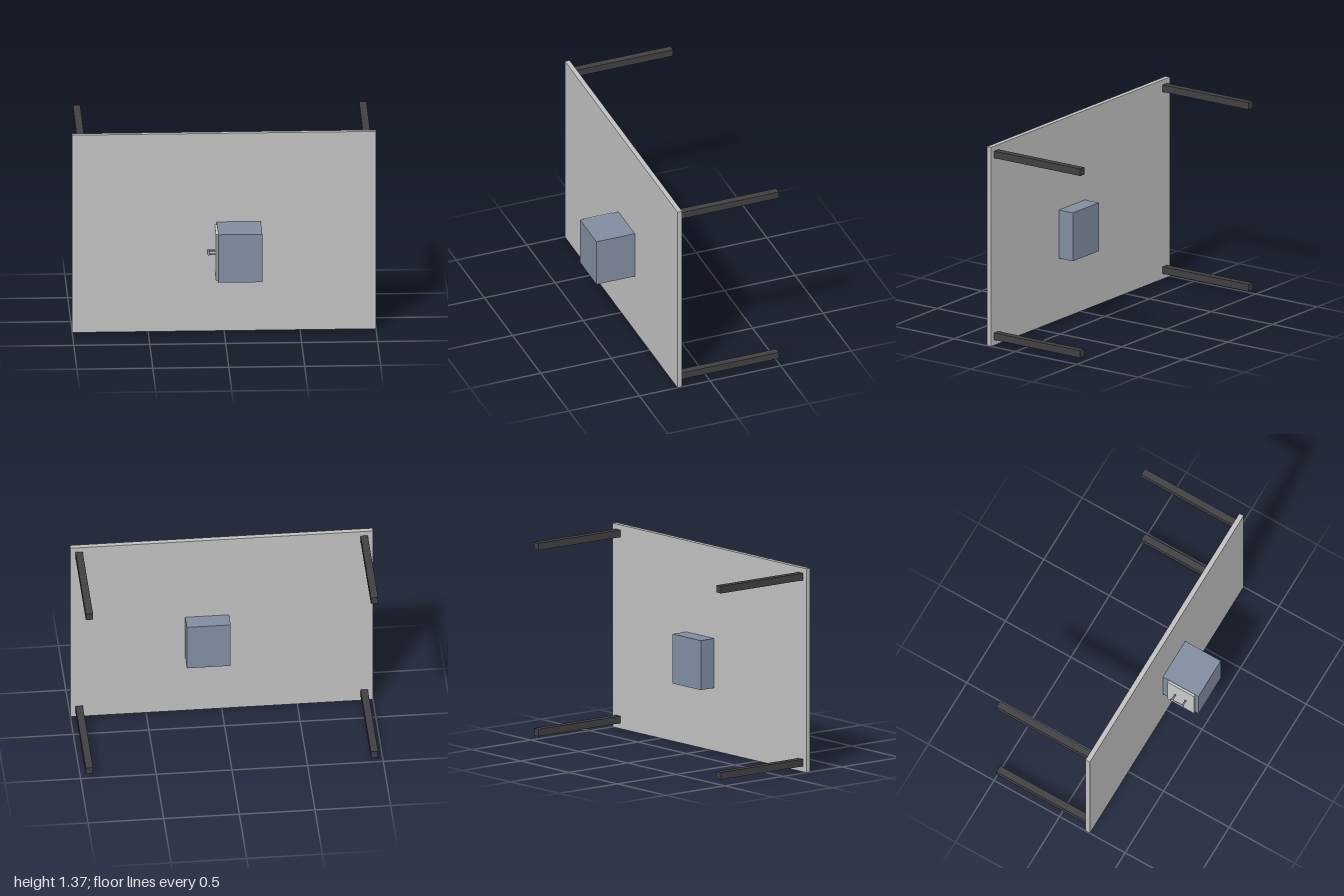
import * as THREE from 'three';

const material = (name, color) => new THREE.MeshStandardMaterial({ name, color });

export function createModel() {
  const panelGrey = material('panel grey', 0xc0c0c0);
  const legBlack = material('leg charcoal', 0x404043);
  const cabinetBlue = material('cabinet blue grey', 0x808da0);
  const frontGrey = material('drawer front pale grey', 0xc8cacc);
  const handleMetal = material('handle steel', 0x808896);

  const model = new THREE.Group();
  model.name = 'tippedTable';

  // Box given by its low and high limits on each axis
  const box = (name, mat, [x0, x1], [y0, y1], [z0, z1]) => {
    const mesh = new THREE.Mesh(new THREE.BoxGeometry(x1 - x0, y1 - y0, z1 - z0), mat);
    mesh.position.set((x0 + x1) / 2, (y0 + y1) / 2, (z0 + z1) / 2);
    mesh.name = name;
    model.add(mesh);
  };

  // Upright table top
  box('tableTop', panelGrey, [-1, 1], [0, 1.367], [0.198, 0.231]);

  // Four legs pointing backwards
  for (const x of [-0.942, 0.942]) {
    for (const y of [0.061, 1.309]) {
      box('leg', legBlack, [x - 0.024, x + 0.024], [y - 0.024, y + 0.024], [-0.502, 0.198]);
    }
  }

  // Cabinet passing through the top, with a front plate on its right side
  box('cabinet', cabinetBlue, [-0.049, 0.241], [0.422, 0.754], [0.084, 0.502]);
  box('drawerFront', frontGrey, [-0.064, -0.049], [0.427, 0.749], [0.273, 0.477]);

  // Handle: a capsule grip on two short posts
  const handle = new THREE.Group();
  handle.name = 'handle';
  handle.position.set(-0.109, 0.59, 0.373);
  const grip = new THREE.Mesh(new THREE.CapsuleGeometry(0.0075, 0.09, 6, 16), handleMetal);
  grip.name = 'handleGrip';
  grip.rotation.x = Math.PI / 2;
  handle.add(grip);
  for (const z of [-0.04, 0.04]) {
    const post = new THREE.Mesh(new THREE.CylinderGeometry(0.006, 0.006, 0.046, 16), handleMetal);
    post.name = 'handlePost';
    post.rotation.z = Math.PI / 2;
    post.position.set(0.023, 0, z);
    handle.add(post);
  }
  model.add(handle);
  return model;
}
